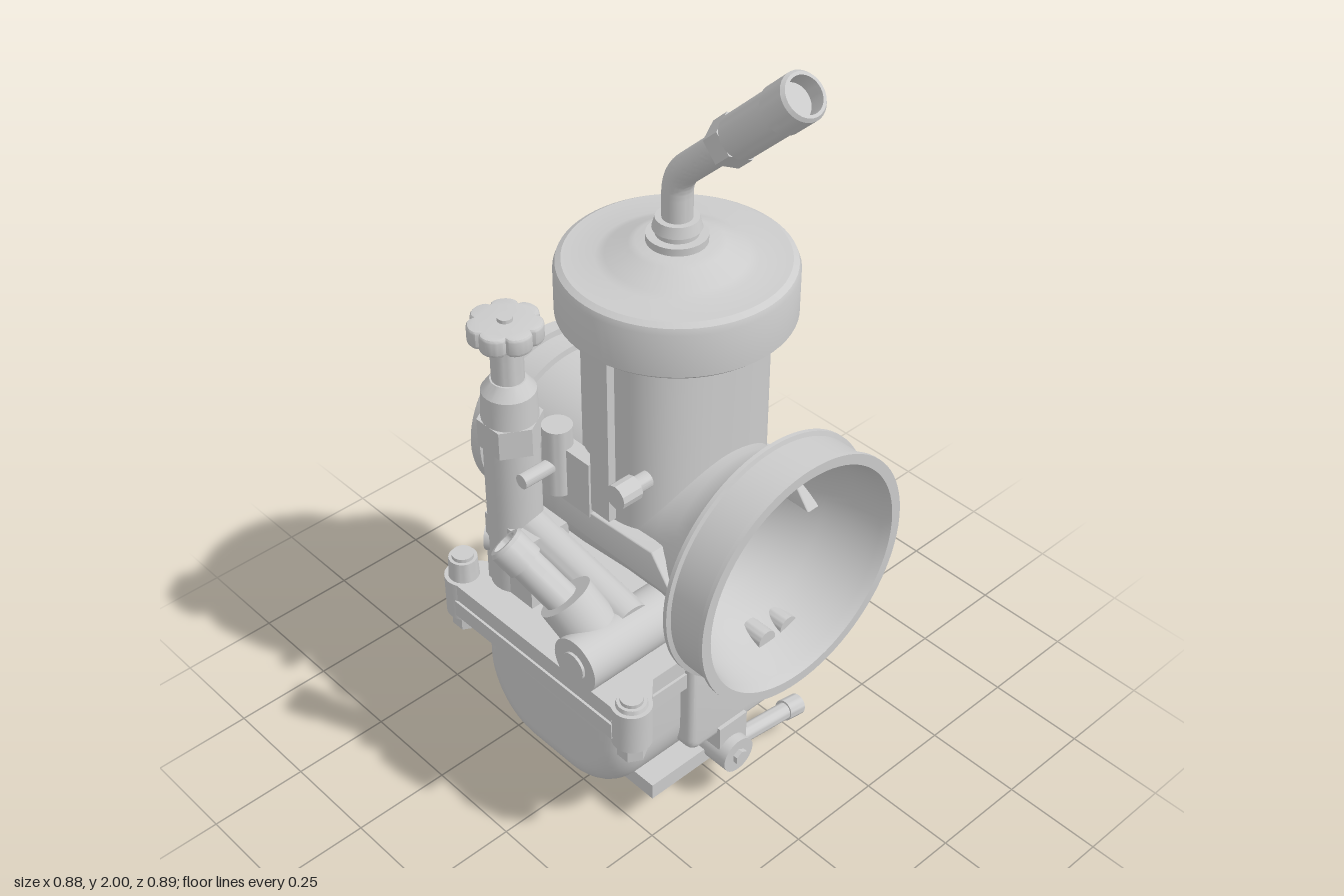
import * as THREE from 'three';
import { toCreasedNormals } from 'three/addons/utils/BufferGeometryUtils.js';

const CX = 0.03, CZ = 0.03, BORE_Y = 0.785;
const V = (x, y, z) => new THREE.Vector3(x, y, z);
const UP = V(0, 1, 0);

export function createModel() {
  const model = new THREE.Group();
  const mat = new THREE.MeshStandardMaterial({ color: 0xcccccc, side: THREE.DoubleSide });

  const add = (name, geo, x = 0, y = 0, z = 0) => {
    const mesh = new THREE.Mesh(toCreasedNormals(geo, 0.5), mat);
    mesh.name = name;
    mesh.position.set(x, y, z);
    model.add(mesh);
    return mesh;
  };
  // box given by its limits
  const box = (name, x0, x1, y0, y1, z0, z1) =>
    add(name, new THREE.BoxGeometry(x1 - x0, y1 - y0, z1 - z0), (x0 + x1) / 2, (y0 + y1) / 2, (z0 + z1) / 2);
  // cylinder between two points
  const rod = (name, a, b, r, sides = 28, r2 = r) => {
    const d = b.clone().sub(a);
    const m = add(name, new THREE.CylinderGeometry(r2, r, d.length(), sides), ...a.clone().lerp(b, 0.5).toArray());
    m.quaternion.setFromUnitVectors(UP, d.normalize());
    return m;
  };
  const post = (name, x, z, y0, y1, r, sides, r2) => rod(name, V(x, y0, z), V(x, y1, z), r, sides, r2);
  const lathe = (pts, seg = 64) => new THREE.LatheGeometry(pts.map(p => new THREE.Vector2(p[0], p[1])), seg);
  // side profile drawn in (-z, y), drawn out along x with rounded ends
  const extrudeX = (name, shape, x0, x1, b) => {
    const geo = new THREE.ExtrudeGeometry(shape, {
      depth: x1 - x0 - 2 * b, bevelThickness: b, bevelSize: b, bevelOffset: -b, bevelSegments: 8, curveSegments: 16 });
    return add(name, geo.rotateY(Math.PI / 2), x0 + b, 0, 0);
  };

  // Throat: rear spigot, straight bore and flared intake bell in one closed profile along z
  const throat = [[0.19, -0.44], [0.222, -0.445], [0.23, -0.437], [0.23, -0.402], [0.215, -0.4], [0.215, -0.362],
    [0.23, -0.36], [0.23, -0.326], [0.215, -0.324], [0.215, -0.1], [0.207, 0.05], [0.207, 0.17], [0.213, 0.22],
    [0.228, 0.26], [0.255, 0.295], [0.285, 0.322], [0.314, 0.322], [0.314, 0.332], [0.303, 0.335], [0.303, 0.428],
    [0.314, 0.432], [0.314, 0.443], [0.288, 0.443], [0.28, 0.42], [0.265, 0.345], [0.235, 0.28], [0.205, 0.2],
    [0.192, 0.13], [0.19, 0.05], [0.19, -0.44]];
  add('throat', lathe(throat, 80).rotateX(Math.PI / 2), CX, BORE_Y, 0);

  // Slide housing: rounded-square wall whose lower edge rests on the throat
  const wall = new THREE.CylinderGeometry(1, 1, 1, 80, 1, true);
  const p = wall.attributes.position;
  const soft = (v, n) => Math.sign(v) * Math.abs(v) ** n;
  for (let i = 0; i < p.count; i++) {
    const x = 0.212 * soft(p.getX(i), 0.72), z = 0.165 * soft(p.getZ(i), 0.72);
    p.setXYZ(i, x, p.getY(i) > 0 ? 1.32 : BORE_Y + Math.sqrt(Math.max(0, 0.2 ** 2 - x * x)), z);
  }
  add('slideHousing', wall, CX, 0, CZ);

  // Cap with a low cone on top
  add('cap', lathe([[0, 1.31], [0.225, 1.31], [0.235, 1.305], [0.255, 1.305], [0.266, 1.315], [0.266, 1.42],
    [0.261, 1.434], [0.248, 1.442], [0.175, 1.443], [0.155, 1.449], [0.105, 1.477], [0.09, 1.482], [0, 1.484]]), CX, 0, CZ);

  // Throttle slide, back plate and jet inside the bore
  const slide = new THREE.Shape();
  slide.moveTo(-0.09, -0.09).lineTo(-0.05, -0.09).quadraticCurveTo(-0.04, -0.05, 0, -0.05).quadraticCurveTo(0.04, -0.05, 0.05, -0.09)
    .lineTo(0.09, -0.09).lineTo(0.09, 0.19).lineTo(-0.09, 0.19);
  const slot = new THREE.Path();
  slot.moveTo(-0.032, 0).absarc(0, 0, 0.032, Math.PI, 0, false).lineTo(0.014, 0.11).absarc(0, 0.11, 0.014, 0, Math.PI, false);
  slide.holes.push(slot);
  add('throttleSlide', new THREE.ExtrudeGeometry(slide, { depth: 0.09, bevelThickness: 0.02, bevelSize: 0.012, bevelOffset: -0.012, bevelSegments: 4 }), CX, BORE_Y, 0);
  rod('slidePlate', V(CX, BORE_Y, -0.02), V(CX, BORE_Y, 0.01), 0.192, 48);
  post('needleJet', CX, 0.08, 0.57, 0.65, 0.075);

  // Cable elbow with nut, sleeve and end collar
  post('elbowCollar', CX, CZ, 1.47, 1.5, 0.068);
  post('elbowGroove', CX, CZ, 1.5, 1.515, 0.048);
  post('elbowRing', CX, CZ, 1.515, 1.54, 0.055, 28, 0.048);
  const path = new THREE.CurvePath();
  path.add(new THREE.LineCurve3(V(CX, 1.48, CZ), V(CX, 1.6, CZ)));
  path.add(new THREE.QuadraticBezierCurve3(V(CX, 1.6, CZ), V(CX, 1.64, CZ), V(CX, 1.67, CZ + 0.03)));
  path.add(new THREE.LineCurve3(V(CX, 1.67, CZ + 0.03), V(CX, 1.82, 0.22)));
  add('elbowTube', new THREE.TubeGeometry(path, 48, 0.034, 24));
  const along = t => V(CX, 1.77 + 0.195 * t, 0.168 + 0.207 * t);
  rod('elbowNut', along(0), along(0.18), 0.054, 6);
  rod('elbowSleeve', along(0.18), along(0.72), 0.05);
  const hollow = (name, a, b, r, inner) => {
    const d = b.clone().sub(a), h = d.length();
    const m = add(name, lathe([[0, 0], [r, 0], [r, h - 0.008], [r - 0.006, h], [inner, h], [inner, h - 0.04], [0, h - 0.04]], 32), ...a.toArray());
    m.quaternion.setFromUnitVectors(UP, d.normalize());
  };
  hollow('elbowEnd', along(0.72), along(1), 0.053, 0.04);

  // Float bowl with a rounded belly
  const bowl = new THREE.Shape();
  bowl.moveTo(-0.23, 0.52).lineTo(-0.23, 0.3).bezierCurveTo(-0.23, 0.19, -0.14, 0.1, -0.04, 0.1).lineTo(0.1, 0.1)
    .bezierCurveTo(0.2, 0.1, 0.285, 0.19, 0.285, 0.3).lineTo(0.285, 0.52);
  extrudeX('floatBowl', bowl, -0.33, 0.385, 0.075);

  // Float chamber dome on the left of the body
  const dome = new THREE.Shape();
  dome.moveTo(-0.23, 0.4).lineTo(0.28, 0.4).lineTo(0.28, 0.53).bezierCurveTo(0.26, 0.62, 0.21, 0.68, 0.13, 0.68)
    .lineTo(-0.1, 0.68).bezierCurveTo(-0.17, 0.68, -0.22, 0.62, -0.23, 0.53);
  extrudeX('chamberDome', dome, 0.165, 0.385, 0.08);

  // Body saddle carrying the throat
  const saddle = new THREE.Shape();
  saddle.moveTo(-0.25, -0.3).lineTo(0.25, -0.3).lineTo(0.25, -0.2).lineTo(0.2, -0.17)
    .absarc(0, 0, 0.206, -0.97, -Math.PI + 0.97, true).lineTo(-0.2, -0.17).lineTo(-0.25, -0.2);
  add('bodySaddle', new THREE.ExtrudeGeometry(saddle, { depth: 0.36, bevelEnabled: false, curveSegments: 32 }), CX, BORE_Y, -0.22);

  // Joint flange, corner lugs and bolts
  box('flangeLower', -0.375, 0.435, 0.425, 0.47, -0.31, 0.25);
  box('flangeUpper', -0.37, 0.43, 0.472, 0.52, -0.305, 0.245);
  for (const x of [-0.328, 0.388]) for (const z of [-0.328, 0.268]) {
    const s = x < 0 ? 1 : -1;
    post('lug', x, z, 0.41, 0.52, 0.048);
    const arm = box('lugArm', -0.06, 0.06, 0.425, 0.52, -0.045, 0.045);
    arm.position.set(x + s * 0.045, 0.4725, z - Math.sign(z) * 0.045);
    arm.rotation.y = s * Math.sign(z) * Math.PI / 4;
    const top = x < 0 && z > 0 ? 0.53 : 0.575;
    post('boltHead', x, z, 0.52, top, 0.038, 28, 0.035);
    post('boltTip', x, z, top, top + 0.01, 0.027);
    post('boltNut', x, z, 0.365, 0.415, 0.036, 6);
  }

  // Bowl front box, overflow rib and drain plug
  const front = new THREE.Shape();
  front.moveTo(-0.14, 0.52).lineTo(-0.14, 0.25).quadraticCurveTo(-0.14, 0.21, -0.1, 0.21).lineTo(0.16, 0.21)
    .quadraticCurveTo(0.2, 0.21, 0.2, 0.25).lineTo(0.2, 0.52);
  add('bowlFront', new THREE.ExtrudeGeometry(front, { depth: 0.12, bevelThickness: 0.02, bevelSize: 0.02, bevelOffset: -0.02, bevelSegments: 4 }), 0, 0, 0.125);
  add('overflowRib', new THREE.CapsuleGeometry(0.042, 0.26, 8, 24), 0.12, 0.35, -0.28);
  post('plugWasher', CX, -0.005, 0.055, 0.11, 0.13, 40);
  post('plugNut', CX, -0.005, 0, 0.06, 0.088, 6);

  // Drain boss, screw and nipple
  rod('drainBoss', V(-0.01, 0.145, 0.1), V(-0.01, 0.145, 0.3), 0.048);
  rod('drainScrew', V(-0.01, 0.145, 0.3), V(-0.01, 0.145, 0.312), 0.02, 6);
  box('drainWeb', -0.05, 0.04, 0.14, 0.24, 0.15, 0.275);
  box('drainFoot', -0.23, 0, 0.1, 0.145, 0.1, 0.23);
  rod('drainPipe', V(0, 0.14, 0.25), V(0.25, 0.09, 0.24), 0.022);
  rod('drainPipeEnd', V(0.21, 0.098, 0.24), V(0.26, 0.088, 0.24), 0.027);

  // Fuel inlet on the right: boss, gallery, banjo base and hollow nipple
  rod('inletBoss', V(-0.4, 0.61, 0.16), V(-0.1, 0.61, 0.16), 0.068, 36);
  rod('inletScrew', V(-0.407, 0.61, 0.16), V(-0.395, 0.61, 0.16), 0.035);
  rod('fuelGallery', V(-0.225, 0.69, -0.2), V(-0.235, 0.64, 0.17), 0.05);
  rod('inletBase', V(-0.3, 0.6, 0.14), V(-0.337, 0.71, 0.06), 0.068);
  rod('inletPipe', V(-0.33, 0.68, 0.07), V(-0.39, 0.805, -0.05), 0.04);
  hollow('inletEnd', V(-0.378, 0.78, -0.026), V(-0.4, 0.826, -0.07), 0.046, 0.03);

  // Choke: barrel, hex, stem and lobed knob
  const kx = -0.235, kz = -0.235;
  box('chokeHousing', -0.29, -0.17, 0.5, 0.72, -0.28, -0.12);
  post('chokeBarrel', kx, kz, 0.5, 0.93, 0.066);
  post('chokeNut', kx, kz, 0.93, 1.005, 0.077, 6);
  post('chokeNeck', kx, kz, 1.005, 1.08, 0.067, 28, 0.064);
  post('chokeShoulder', kx, kz, 1.08, 1.11, 0.064, 28, 0.042);
  post('chokeStem', kx, kz, 1.1, 1.225, 0.038);
  const knob = new THREE.Shape();
  for (let i = 0; i <= 84; i++) {
    const a = i / 84 * Math.PI * 2, r = 0.072 + 0.015 * Math.sqrt(Math.abs(Math.cos(3.5 * a)));
    knob[i ? 'lineTo' : 'moveTo'](r * Math.cos(a), r * Math.sin(a));
  }
  add('chokeKnob', new THREE.ExtrudeGeometry(knob, { depth: 0.03, bevelThickness: 0.008, bevelSize: 0.006, bevelOffset: -0.006, bevelSegments: 3 })
    .rotateX(-Math.PI / 2), kx, 1.228, kz);
  post('knobButton', kx, kz, 1.26, 1.275, 0.018);
  rod('airScrew', V(-0.2, 0.63, -0.2), V(-0.27, 0.63, -0.3), 0.04);

  // Mirrored side details: guide rib, vent boss, cross pin and fin
  const fin = new THREE.Shape();
  fin.moveTo(-0.27, 0.76).lineTo(0.12, 0.76).lineTo(0.17, 0.855).lineTo(0.1, 0.835).lineTo(-0.2, 0.85);
  for (const s of [-1, 1]) {
    const X = d => CX + s * d;
    add('guideRib', new THREE.BoxGeometry(0.04, 0.46, 0.06), X(0.212), 1.08, CZ);
    post('ventBoss', X(0.232), -0.11, 0.85, 1.03, 0.036);
    rod('crossPin', V(X(0.2), 0.93, -0.105), V(X(0.345), 0.93, -0.105), 0.018);
    extrudeX('sideFin', fin, Math.min(X(0.195), X(0.235)), Math.max(X(0.195), X(0.235)), 0.004);
    add('ventWeb', new THREE.BoxGeometry(0.04, 0.15, 0.14), X(0.218), 0.905, -0.07);
  }
  post('ventTube', 0.26, -0.105, 1.02, 1.17, 0.022);
  post('ventTip', 0.26, -0.105, 1.16, 1.205, 0.028, 28, 0.022);

  // Idle screw and bell jets
  rod('idleScrew', V(-0.16, 1.0, 0.14), V(-0.22, 1.0, 0.14), 0.02);
  rod('idleScrewHead', V(-0.2, 1.0, 0.14), V(-0.255, 1.0, 0.14), 0.03, 12);
  for (const [x, y] of [[0.03, 0.53], [0.1, 0.53], [-0.2, 0.7]])
    rod('bellJet', V(x, y, 0.28), V(x, y, 0.34), 0.026);

  return model;
}
